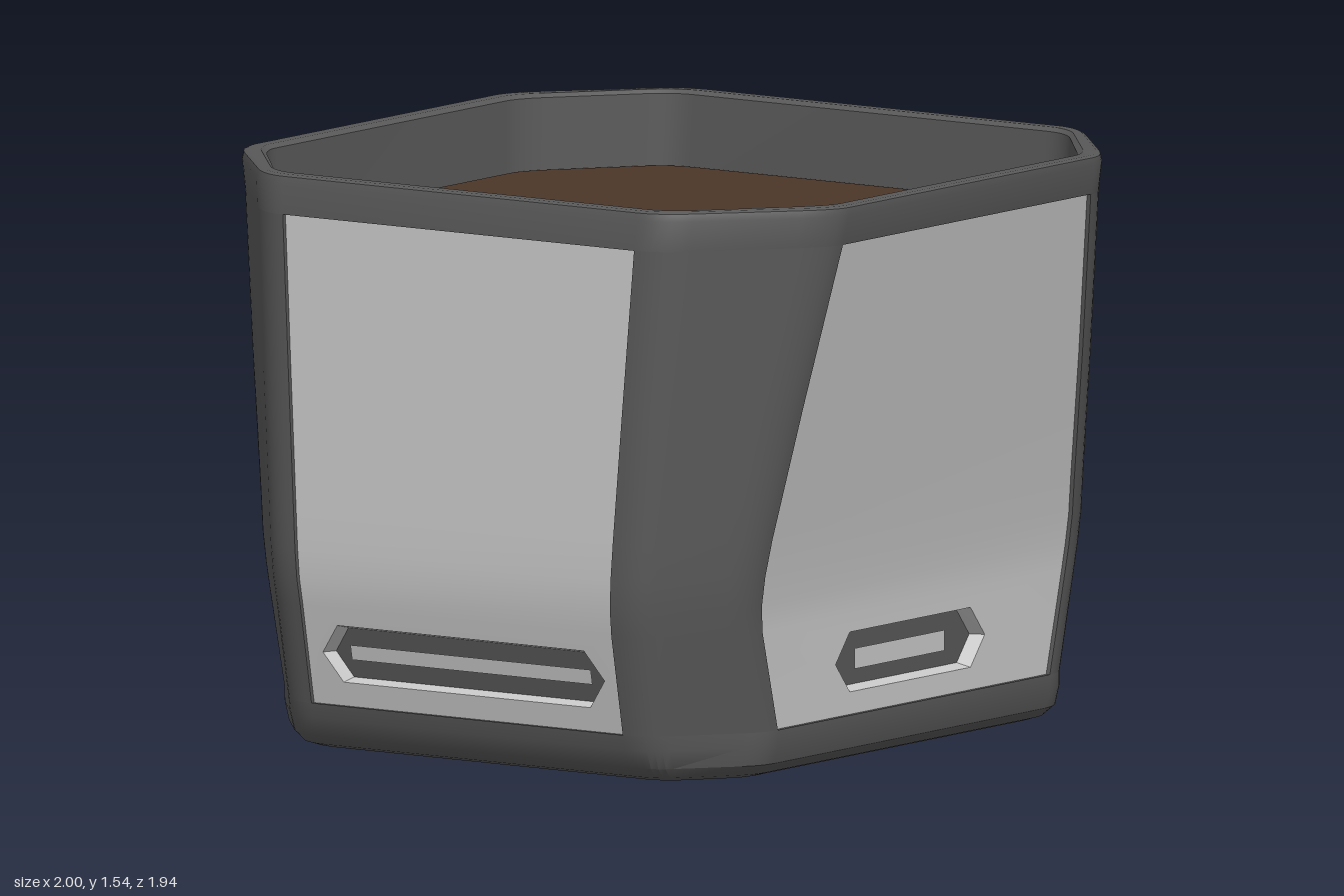
import * as THREE from 'three';
import { mergeGeometries, toCreasedNormals } from 'three/addons/utils/BufferGeometryUtils.js';

const INSET = 0.012;   // panels sit slightly behind the frame
const Y0 = 0.13, YS = 0.40, Y1 = 1.435;   // panel bottom, end of its straight foot, top

// Body profile: [y, half width x, half depth z, front panel half width, side panel half width]
const KEYS = [
  [0, 0.83, 0.70, 0.60, 0.49],
  [0.012, 0.87, 0.74, 0.61, 0.50],
  [0.04, 0.905, 0.772, 0.62, 0.505],
  [0.09, 0.926, 0.785, 0.62, 0.505],
  [Y0, 0.934, 0.785, 0.62, 0.505],
  [YS, 0.986, 0.785, 0.69, 0.505],
  [0.47, 0.997, 0.79, 0.70, 0.508],
  [0.55, 1.0, 0.801, 0.70, 0.512],
  [0.65, 0.998, 0.816, 0.688, 0.518],
  [1.0, 0.988, 0.879, 0.637, 0.541],
  [Y1, 0.974, 0.957, 0.565, 0.57],
  [1.515, 0.968, 0.972, 0.56, 0.575],
  [1.535, 0.962, 0.97, 0.555, 0.572],
  [1.54, 0.95, 0.96, 0.55, 0.57],
];

// Profile at any height
function profile(y) {
  let i = 0;
  while (i < KEYS.length - 2 && KEYS[i + 1][0] < y) i++;
  const a = KEYS[i], b = KEYS[i + 1], t = (y - a[0]) / (b[0] - a[0]);
  return a.map((v, j) => v + (b[j] - v) * t);
}

// Rounded chamfer from the front panel edge to the side panel edge, in quadrant q
function corner([y, X, Z, px, pz], q, step = 0) {
  const V = (x, z) => new THREE.Vector2(x, z);
  const start = V(px, Z), a = V(px + 0.05, Z), b = V(X, pz + 0.07), end = V(X, pz);
  const p1 = a.clone().lerp(b, 0.2), p2 = b.clone().lerp(a, 0.2);
  let pts = [
    ...new THREE.QuadraticBezierCurve(start, a, p1).getPoints(6),
    ...new THREE.QuadraticBezierCurve(p2, b, end).getPoints(6),
  ];
  if (step) pts = [V(px, Z - step), ...pts, V(X - step, pz)];
  const [sx, sz] = [[1, 1], [1, -1], [-1, -1], [-1, 1]][q];
  if (q % 2) pts.reverse();
  return pts.map(p => [p.x * sx, y, p.y * sz]);
}

// Closed ring of all four corners
function ring(k) {
  const r = [0, 1, 2, 3].flatMap(q => corner(k, q));
  return [...r, r[0]];
}
const centre = row => row.map(p => [0, p[1], 0]);
const inset = k => [k[0], k[1] - INSET, k[2] - INSET, k[3], k[4]];

// Surface through rows of points
function grid(rows) {
  const n = rows[0].length, index = [];
  for (let r = 0; r < rows.length - 1; r++) {
    for (let c = 0; c < n - 1; c++) {
      const a = r * n + c, d = a + n;
      index.push(a, a + 1, d + 1, a, d + 1, d);
    }
  }
  const g = new THREE.BufferGeometry();
  g.setAttribute('position', new THREE.Float32BufferAttribute(rows.flat(2), 3));
  g.setIndex(index);
  return g.toNonIndexed();
}

// Flat outline, with an optional hole, laid onto a curved wall
function plate(outline, hole, place) {
  const toV = p => new THREE.Vector2(p[0], p[1]);
  const shape = new THREE.Shape(outline.map(toV));
  if (hole) shape.holes.push(new THREE.Path(hole.map(toV)));
  const g = new THREE.ShapeGeometry(shape).toNonIndexed();
  g.deleteAttribute('uv');
  g.deleteAttribute('normal');
  const pos = g.attributes.position;
  for (let i = 0; i < pos.count; i++) pos.setXYZ(i, ...place(pos.getX(i), pos.getY(i)));
  return g;
}

const hexagon = (w, flat, lo, hi) => {
  const m = (lo + hi) / 2;
  return [[-w, m], [-flat, lo], [flat, lo], [w, m], [flat, hi], [-flat, hi]];
};

export function createModel() {
  const frameMat = new THREE.MeshStandardMaterial({ color: 0x585858 });
  frameMat.name = 'dark grey frame';
  const panelMat = new THREE.MeshStandardMaterial({ color: 0xc8c8c8 });
  panelMat.name = 'light grey panel';
  const soilMat = new THREE.MeshStandardMaterial({ color: 0x4c3628 });
  soilMat.name = 'brown soil';

  const model = new THREE.Group();
  model.name = 'planter';
  const add = (parent, name, geometry, material) => {
    const mesh = new THREE.Mesh(toCreasedNormals(geometry, 0.55), material);
    mesh.name = name;
    parent.add(mesh);
  };

  // Base with rounded lower edge and closed underside
  const baseRows = KEYS.filter(k => k[0] <= Y0).map(ring);
  add(model, 'base', grid([centre(baseRows[0]), ...baseRows, ring(inset(profile(Y0)))]), frameMat);

  // Rim, rolling over into the inner wall
  add(model, 'rim', grid([
    ring(inset(profile(Y1))),
    ...KEYS.filter(k => k[0] >= Y1).map(ring),
    ring([1.54, 0.92, 0.928, 0.53, 0.57]),
    ring([1.53, 0.905, 0.912, 0.525, 0.57]),
    ring([1.31, 0.895, 0.903, 0.52, 0.57]),
  ]), frameMat);

  // Corner posts
  const postKeys = KEYS.filter(k => k[0] >= Y0 && k[0] <= Y1);
  for (let q = 0; q < 4; q++) {
    add(model, 'cornerPost', grid(postKeys.map(k => corner(k, q, INSET))), frameMat);
  }

  // Soil with a softened edge
  const soilEdge = ring([1.34, 0.885, 0.893, 0.515, 0.565]);
  add(model, 'soil', grid([ring([1.325, 0.898, 0.906, 0.522, 0.572]), soilEdge, centre(soilEdge)]), soilMat);

  // Wall panel with a recessed six-sided grip and a light slot
  function wallPanel(name, dist, half, hex, slot, turn) {
    const group = new THREE.Group();
    group.name = name;
    const at = depth => (u, y) => [u, y, profile(y)[dist] - depth];
    const edge = y => profile(y)[half];
    const [w, flat, lo, hi] = hex;
    const outer = hexagon(w, flat, lo, hi);
    const inner = hexagon(w - 0.015, flat - 0.007, lo + 0.01, hi - 0.01);
    const surface = at(INSET), floor = at(INSET + 0.04);

    const foot = [[-edge(Y0), Y0], [edge(Y0), Y0], [edge(YS), YS], [-edge(YS), YS]];
    const upper = KEYS.filter(k => k[0] >= YS && k[0] <= Y1)
      .map(k => [surface(-k[half], k[0]), surface(k[half], k[0])]);
    add(group, 'panel', mergeGeometries([plate(foot, outer, surface), grid(upper)]), panelMat);

    const loop = (pts, place) => [...pts, pts[0]].map(p => place(...p));
    add(group, 'gripWall', grid([loop(outer, surface), loop(inner, floor)]), panelMat);
    add(group, 'gripFloor', plate(inner, null, floor), frameMat);
    const [sw, s0, s1] = slot;
    add(group, 'gripSlot', plate([[-sw, s0], [sw, s0], [sw, s1], [-sw, s1]], null, at(INSET + 0.035)), panelMat);

    group.rotation.y = turn;
    model.add(group);
  }
  const wide = [0.34, 0.275, 0.19, 0.35], long = [0.457, 0.40, 0.195, 0.35];
  wallPanel('frontPanel', 2, 3, wide, [0.205, 0.24, 0.295], 0);
  wallPanel('backPanel', 2, 3, wide, [0.205, 0.24, 0.295], Math.PI);
  wallPanel('leftPanel', 1, 4, long, [0.39, 0.253, 0.293], Math.PI / 2);
  wallPanel('rightPanel', 1, 4, long, [0.39, 0.253, 0.293], -Math.PI / 2);

  return model;
}
